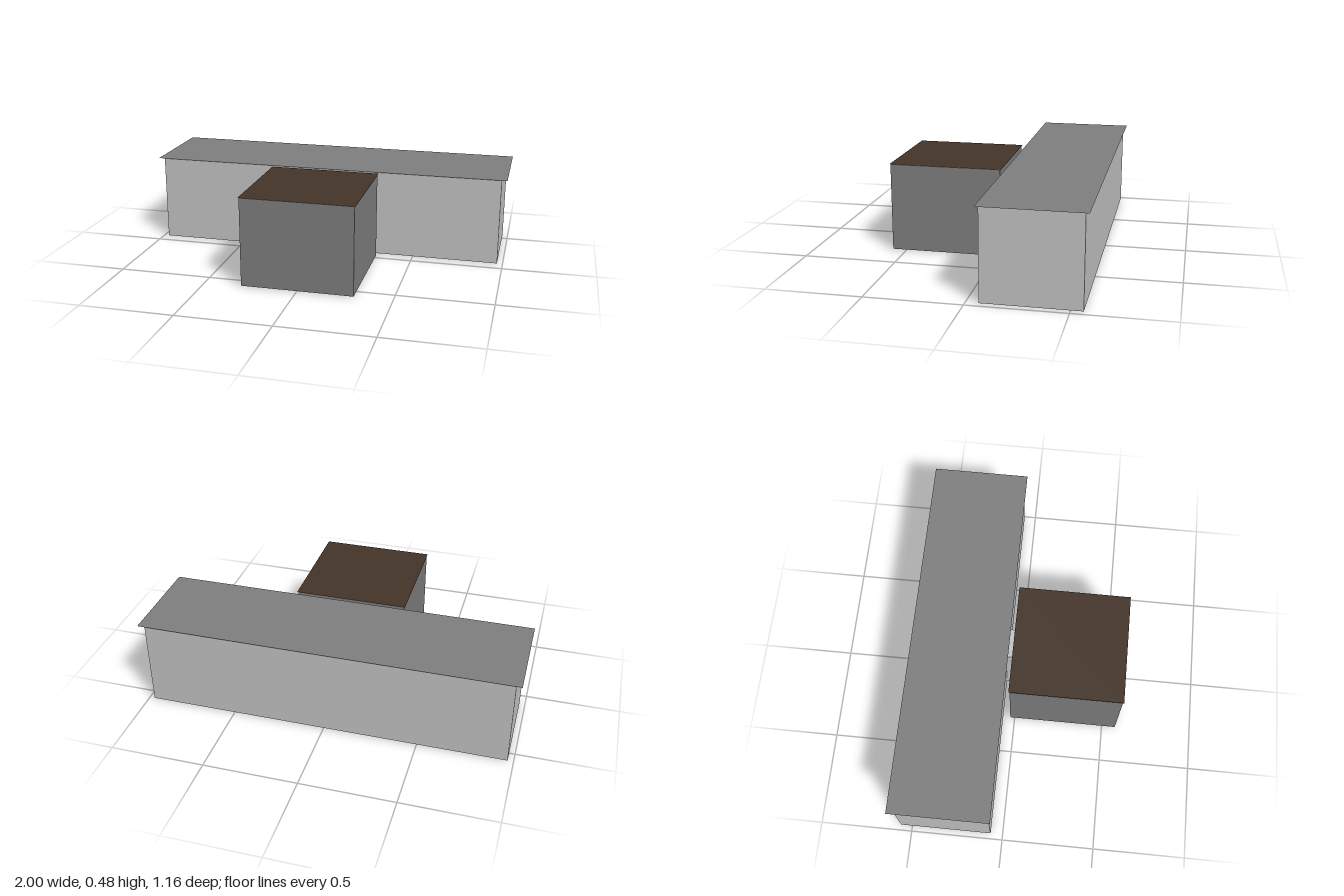
import * as THREE from 'three';

const material = (name, color, side = THREE.FrontSide) => {
  const m = new THREE.MeshStandardMaterial({ color, side });
  m.name = name;
  return m;
};

export function createModel() {
  const group = new THREE.Group();
  group.name = 'building';
  const lightGrey = material('light grey wall', 0xc6c6c6);
  const grey = material('grey wall', 0x808080);
  const greyRoof = material('grey roofing', 0x808080, THREE.DoubleSide);
  const brown = material('brown roofing', 0x45352a, THREE.DoubleSide);

  // Box given by its limits on each axis
  const block = (name, [x0, x1], [y0, y1], [z0, z1], mat) => {
    const mesh = new THREE.Mesh(new THREE.BoxGeometry(x1 - x0, y1 - y0, z1 - z0), mat);
    mesh.position.set((x0 + x1) / 2, (y0 + y1) / 2, (z0 + z1) / 2);
    mesh.name = name;
    group.add(mesh);
  };
  // Flat roof sheet without thickness
  const sheet = (name, halfWidth, [z0, z1], y, mat) => {
    const mesh = new THREE.Mesh(new THREE.PlaneGeometry(halfWidth * 2, z1 - z0).rotateX(-Math.PI / 2), mat);
    mesh.position.set(0, y, (z0 + z1) / 2);
    mesh.name = name;
    group.add(mesh);
  };

  // Long rear wing with an overhanging roof
  block('rearWing', [-0.97, 0.97], [0.003, 0.48], [-0.562, -0.066], lightGrey);
  sheet('rearRoof', 1, [-0.582, -0.053], 0.482, greyRoof);

  // Square front wing
  block('frontWing', [-0.299, 0.299], [0.003, 0.48], [-0.025, 0.575], grey);
  sheet('frontRoof', 0.304, [-0.031, 0.58], 0.482, brown);

  // Passage joining the wings, and a small foot beside it
  block('passage', [-0.08, 0.08], [0, 0.41], [-0.067, -0.024], lightGrey);
  block('foot', [0.22, 0.26], [0, 0.005], [-0.035, -0.024], grey);

  return group;
}
